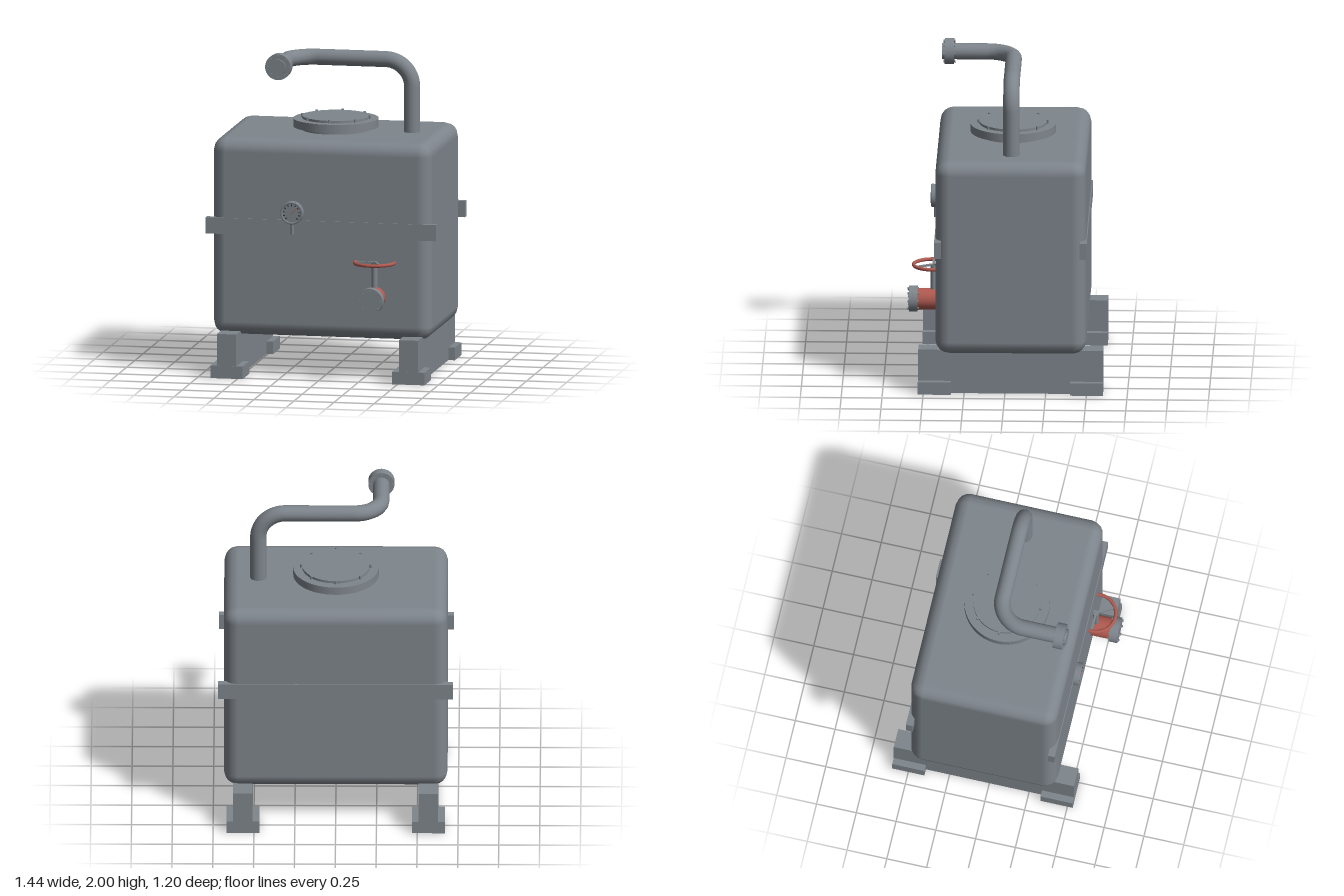
import * as THREE from 'three';
import { RoundedBoxGeometry } from 'three/addons/geometries/RoundedBoxGeometry.js';

export function createModel() {
  const root = new THREE.Group();
  root.name = 'storageTank';

  const material = (name, color) => {
    const m = new THREE.MeshStandardMaterial({ color });
    m.name = name;
    return m;
  };
  const steel = material('steelGrey', 0x7e858c);
  const red = material('valveRed', 0xb05a50);
  const dark = material('markingDark', 0x25282b);

  const add = (name, geometry, mat, x, y, z, parent = root) => {
    const mesh = new THREE.Mesh(geometry, mat);
    mesh.name = name;
    mesh.position.set(x, y, z);
    parent.add(mesh);
    return mesh;
  };
  const box = (name, w, h, d, x, y, z, mat = steel, parent = root) =>
    add(name, new THREE.BoxGeometry(w, h, d), mat, x, y, z, parent);
  // Upright cylinder between two heights
  const cylY = (name, r, y0, y1, x, z, mat = steel, sides = 32) =>
    add(name, new THREE.CylinderGeometry(r, r, y1 - y0, sides), mat, x, (y0 + y1) / 2, z);
  // Cylinder along the depth axis between two depths
  const cylZ = (name, r, z0, z1, x, y, mat = steel, sides = 32) =>
    add(name, new THREE.CylinderGeometry(r, r, z1 - z0, sides).rotateX(Math.PI / 2),
      mat, x, y, (z0 + z1) / 2);
  // Calls back with the points of an evenly divided circle
  const ring = (n, r, fn) => {
    for (let i = 0; i < n; i++) {
      const a = (i / n) * Math.PI * 2;
      fn(Math.cos(a) * r, Math.sin(a) * r, a);
    }
  };

  const cz = -0.035; // depth of the tank centre

  // Tank body
  add('tankBody', new RoundedBoxGeometry(1.37, 1.225, 0.924, 2, 0.085), steel, 0, 0.8625, cz);

  // Straps across the front and back
  box('frontStrap', 1.44, 0.1, 0.043, 0, 0.93, 0.411);
  box('backStrap', 1.44, 0.1, 0.043, 0, 0.93, -0.482);

  // Skid beams with feet at both ends
  for (const s of [-1, 1]) {
    box('skidBeam', 0.12, 0.275, 1.132, s * 0.568, 0.1375, cz);
    for (const z of [0.432, -0.5])
      box('skidFoot', 0.202, 0.078, 0.202, s * 0.568, 0.039, z);
  }

  // Manhole neck, flange, lid and bolts
  cylY('manholeNeck', 0.21, 1.465, 1.5, 0, cz, steel, 48);
  cylY('manholeFlange', 0.262, 1.495, 1.545, 0, cz, steel, 48);
  cylY('manholeLid', 0.207, 1.54, 1.56, 0, cz, steel, 48);
  ring(8, 0.212, (x, z) => cylY('manholeBolt', 0.008, 1.54, 1.566, x, cz + z, steel, 8));

  // Vent pipe: up from the tank, across, then forward
  const px = 0.476, py = 1.92, ex = -0.276, b = 0.165, k = b * 0.448;
  const V = (x, y, z) => new THREE.Vector3(x, y, z);
  const path = new THREE.CurvePath();
  path.add(new THREE.LineCurve3(V(px, 1.45, cz), V(px, py - b, cz)));
  path.add(new THREE.CubicBezierCurve3(
    V(px, py - b, cz), V(px, py - k, cz), V(px - k, py, cz), V(px - b, py, cz)));
  path.add(new THREE.LineCurve3(V(px - b, py, cz), V(ex + b, py, cz)));
  path.add(new THREE.CubicBezierCurve3(
    V(ex + b, py, cz), V(ex + k, py, cz), V(ex, py, cz + k), V(ex, py, cz + b)));
  path.add(new THREE.LineCurve3(V(ex, py, cz + b), V(ex, py, 0.35)));
  add('ventPipe', new THREE.TubeGeometry(path, 90, 0.05, 16), steel, 0, 0, 0);

  // Bolted flange facing forward
  const flange = (name, x, y, z0, z1) => {
    cylZ(name, 0.08, z0, z1, x, y);
    ring(8, 0.066, (dx, dy) =>
      cylZ(name + 'Bolt', 0.008, z0 - 0.008, z1 + 0.008, x + dx, y + dy, steel, 8));
  };
  flange('ventFlange', ex, py, 0.335, 0.392);
  cylZ('ventCap', 0.05, 0.38, 0.408, ex, py);

  // Pressure gauge on a short stem
  const gx = -0.175, gy = 1.03;
  cylY('gaugeStem', 0.01, 0.895, 0.97, gx, 0.446, steel, 12);
  cylZ('gaugeCase', 0.071, 0.437, 0.468, gx, gy);
  const bezel = new THREE.TorusGeometry(0.064, 0.007, 8, 32);
  add('gaugeBezel', bezel, steel, gx, gy, 0.467);
  for (let i = 0; i < 11; i++) {
    const a = THREE.MathUtils.degToRad(-45 + i * 27);
    box('gaugeTick', 0.011, 0.005, 0.003,
      gx + Math.cos(a) * 0.049, gy + Math.sin(a) * 0.049, 0.469, dark).rotation.z = a;
  }
  box('gaugeNeedle', 0.056, 0.005, 0.003, gx + 0.018, gy + 0.015, 0.47, red)
    .rotation.z = Math.PI / 4;

  // Outlet valve body and flange
  const vx = 0.339, vy = 0.518, wz = 0.445, wy = 0.736;
  cylZ('valveBody', 0.066, 0.4, 0.545, vx, vy, red);
  flange('valveFlange', vx, vy, 0.542, 0.595);
  cylY('valveStem', 0.018, vy, wy, vx, wz, steel, 16);

  // Hand wheel with three spokes
  const wheel = new THREE.Group();
  wheel.name = 'handWheel';
  wheel.position.set(vx, wy, wz);
  root.add(wheel);
  add('wheelRim', new THREE.TorusGeometry(0.122, 0.011, 10, 40).rotateX(Math.PI / 2),
    red, 0, 0, 0, wheel);
  for (let i = 0; i < 3; i++) {
    const a = Math.PI + (i * Math.PI * 2) / 3;
    box('wheelSpoke', 0.122, 0.012, 0.014,
      Math.cos(a) * 0.061, 0, -Math.sin(a) * 0.061, steel, wheel).rotation.y = a;
  }

  return root;
}
